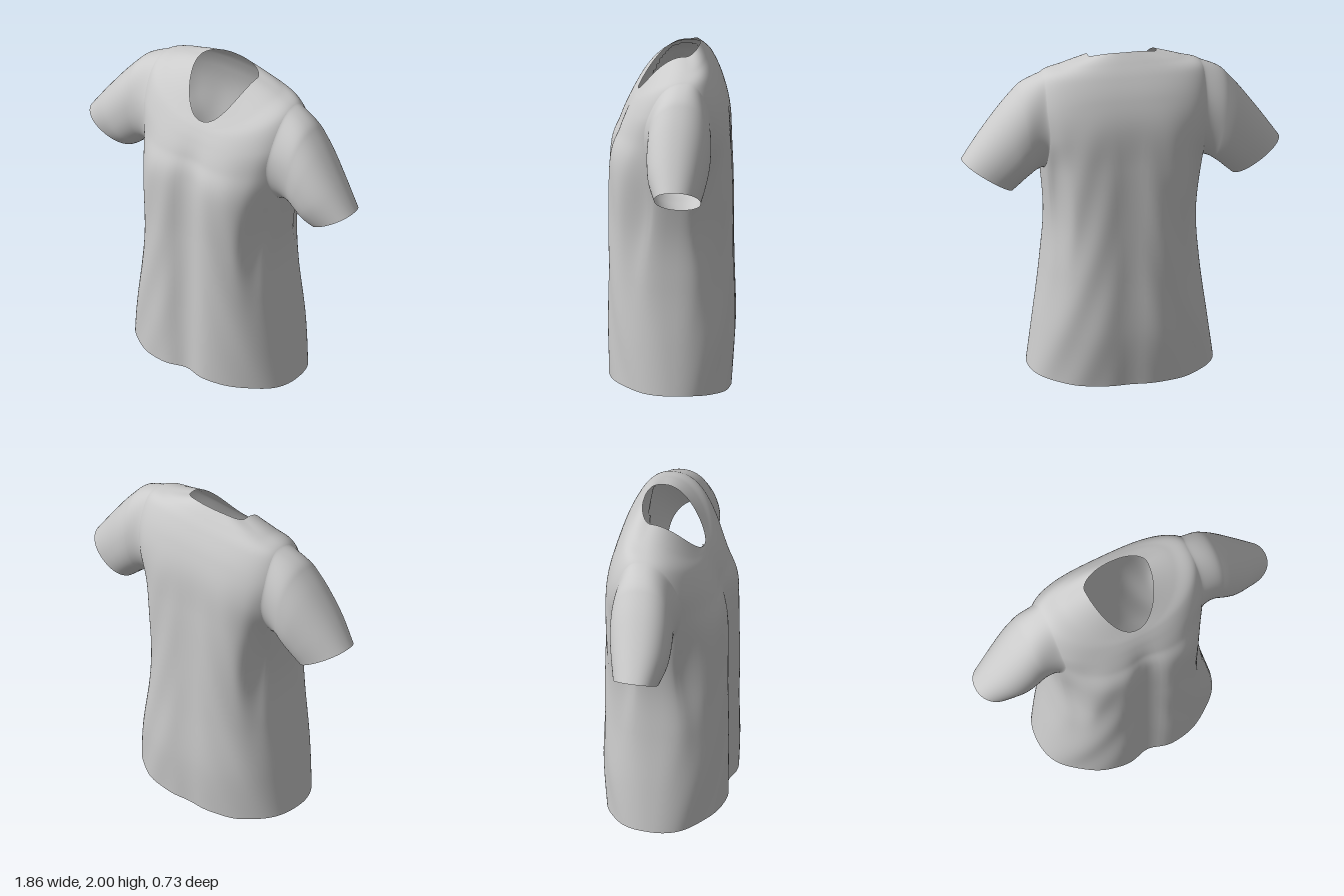
import * as THREE from 'three';

const material = new THREE.MeshStandardMaterial({ color: 0xcccccc, side: THREE.DoubleSide });

// Smoothly interpolates rows of numbers, t from 0 to 1
function sampleRows(rows, t) {
  const f = Math.min(t, 0.99999) * (rows.length - 1);
  const i = Math.floor(f), u = f - i;
  const row = (k) => rows[Math.max(0, Math.min(rows.length - 1, k))];
  const [a, b, c, d] = [row(i - 1), row(i), row(i + 1), row(i + 2)];
  return b.map((_, k) => {
    const m0 = (c[k] - a[k]) / 2, m1 = (d[k] - b[k]) / 2, e = b[k] - c[k];
    return b[k] + u * m0 + u * u * (-3 * e - 2 * m0 - m1) + u * u * u * (2 * e + m0 + m1);
  });
}

// Open tube of closed rings; point(angle, t) gives a position, skip(angle, t) cuts holes
function loft(name, around, along, point, skip = () => false) {
  const pts = [], index = [];
  const angle = (i) => (i / around) * Math.PI * 2;
  for (let j = 0; j <= along; j++)
    for (let i = 0; i < around; i++) pts.push(point(angle(i), j / along));
  for (let j = 0; j < along; j++)
    for (let i = 0; i < around; i++) {
      const n = (i + 1) % around;
      const a = j * around + i, b = j * around + n, c = b + around, d = a + around;
      if (!skip(angle(i + 0.5), (j + 0.5) / along)) index.push(a, b, c, a, c, d);
    }
  const geometry = new THREE.BufferGeometry().setFromPoints(pts);
  geometry.setIndex(index);
  geometry.computeVertexNormals();
  const mesh = new THREE.Mesh(geometry, material);
  mesh.name = name;
  return mesh;
}

// Torso rings: side x, y, z | front centre y, z | back centre y, z | front, back roundness
const torsoRings = [
  [0.54, 0.035, 0.0, 0.07, 0.375, 0.0, -0.355, 0.97, 0.85],
  [0.5, 0.32, 0.0, 0.34, 0.375, 0.3, -0.375, 0.87, 0.8],
  [0.455, 0.65, 0.0, 0.66, 0.372, 0.65, -0.37, 0.78, 0.76],
  [0.435, 0.95, -0.01, 0.98, 0.37, 0.97, -0.365, 0.74, 0.72],
  [0.465, 1.28, -0.04, 1.36, 0.365, 1.33, -0.355, 0.76, 0.68],
  [0.5, 1.5, -0.06, 1.52, 0.308, 1.58, -0.34, 0.82, 0.62],
  [0.525, 1.69, -0.07, 1.62, 0.26, 1.75, -0.3, 0.85, 0.65],
  [0.48, 1.858, -0.08, 1.68, 0.225, 1.87, -0.25, 0.9, 0.75],
  [0.35, 1.918, -0.09, 1.71, 0.205, 1.945, -0.205, 0.95, 0.85],
  [0.2, 1.965, -0.08, 1.73, 0.19, 2.0, -0.165, 1.0, 0.95],
];

function torsoPoint(angle, t) {
  const [sx, sy, sz, fy, fz, by, bz, roundF, roundB] = sampleRows(torsoRings, t);
  const s = Math.sin(angle), c = Math.cos(angle);
  const front = c > 0;
  const round = front ? roundF : roundB;
  const across = Math.abs(s) ** round;
  const x = sx * Math.sign(s) * across;
  // the rings dip towards the V of the neck in front
  const k = 1 - across ** (front ? 2.2 : 3);
  const y = sy + ((front ? fy : by) - sy) * k;
  // a shallow furrow runs down the middle of front and back
  const fade = THREE.MathUtils.smoothstep(1.75 - y, 0, 0.4);
  const furrow = fade * (front ? 0.13 : 0.04) * Math.exp(-((x / 0.1) ** 2));
  // the cloth hangs from chest and shoulder blades and sinks in below the arms
  const sink = 0.055 * Math.exp(-(((y - 1.05) / 0.35) ** 2) - (((across - 0.9) / 0.09) ** 2))
    * Math.min(1, 3 * Math.abs(c));
  // soft diagonal drape folds on the sides
  const fold = fade * 0.006 * Math.sin(9 * y + 14 * across) * across * Math.min(1, 3 * Math.abs(c));
  const z = sz + ((front ? fz : bz) - sz) * Math.abs(c) ** round * (1 - furrow)
    + (fold - sink) * Math.sign(c);
  return new THREE.Vector3(x, y, z);
}

// Armhole: an ellipse on the torso's own angle and height parameters
const hole = { t: 0.625, halfT: 0.175, halfAngle: 0.6 };
const inArmhole = (angle, t) =>
  ((Math.abs(angle - Math.PI) - Math.PI / 2) / hole.halfAngle) ** 2 + ((t - hole.t) / hole.halfT) ** 2 < 0.85;
const armholePoint = (side, angle, r) => torsoPoint(
  side * (Math.PI / 2 - hole.halfAngle * r * side * Math.sin(angle)),
  hole.t + hole.halfT * r * Math.cos(angle)
);

// Sleeve sections: top x, y | bottom x, y | back z, front z
const sleeveRings = [
  [0.61, 1.785, 0.525, 1.268, -0.238, 0.128],
  [0.7, 1.675, 0.565, 1.238, -0.225, 0.138],
  [0.82, 1.51, 0.6, 1.205, -0.195, 0.135],
  [0.93, 1.35, 0.64, 1.17, -0.16, 0.105],
];

function sleeveSection(side, angle, t) {
  const [tx, ty, bx, by, z0, z1] = sampleRows(sleeveRings, t);
  const c = Math.cos(angle), s = side * Math.sin(angle);
  const h = (Math.sign(c) * Math.abs(c) ** 0.92 + 1) / 2;
  const w = Math.sign(s) * Math.abs(s) ** 0.92;
  return new THREE.Vector3(
    side * (bx + (tx - bx) * h),
    by + (ty - by) * h,
    (z0 + z1) / 2 + ((z1 - z0) / 2) * w - 0.04 * (1 - h) * t
  );
}

// The first part of a sleeve flows smoothly out of the armhole edge
const blend = 0.35;
function sleevePoint(side, angle, t) {
  if (t >= blend) return sleeveSection(side, angle, (t - blend) / (1 - blend));
  const start = armholePoint(side, angle, 1), end = sleeveSection(side, angle, 0);
  const gap = start.distanceTo(end);
  const leave = armholePoint(side, angle, 0.95).sub(start).setLength(gap * 0.1).add(start);
  const arrive = end.clone().sub(sleeveSection(side, angle, 0.03)).setLength(gap * 0.35).add(end);
  return new THREE.CubicBezierCurve3(start, leave, arrive, end).getPoint(t / blend);
}

export function createModel() {
  const shirt = new THREE.Group();
  shirt.name = 'shirt';
  shirt.add(loft('torso', 128, 90, torsoPoint, inArmhole));
  for (const [name, side] of [['leftSleeve', 1], ['rightSleeve', -1]])
    shirt.add(loft(name, 64, 40, (a, t) => sleevePoint(side, a, t)));
  return shirt;
}
